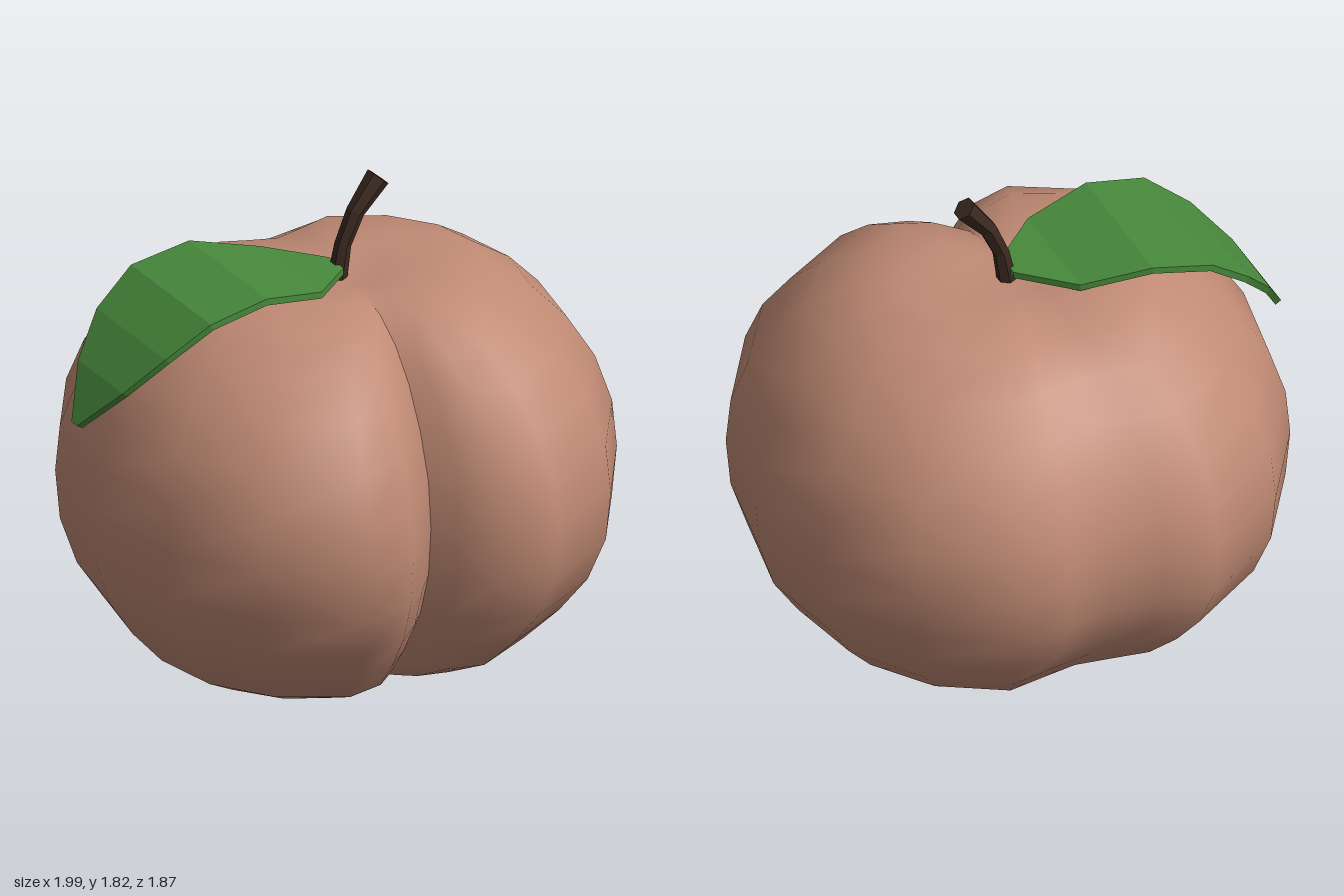
import * as THREE from 'three';

// Skins a list of rings (ordered counter-clockwise around the direction of travel).
function loft(rings, closed, caps) {
  const n = rings[0].length;
  const positions = rings.flat(2);
  const index = [];
  const steps = closed ? n : n - 1;
  for (let i = 0; i < rings.length - 1; i++) {
    for (let j = 0; j < steps; j++) {
      const a = i * n + j, b = i * n + (j + 1) % n;
      index.push(a, b, b + n, a, b + n, a + n);
    }
  }
  if (caps) {
    const last = (rings.length - 1) * n;
    for (let j = 1; j < n - 1; j++) {
      index.push(0, j + 1, j, last, last + j, last + j + 1);
    }
  }
  const geometry = new THREE.BufferGeometry();
  geometry.setAttribute('position', new THREE.Float32BufferAttribute(positions, 3));
  geometry.setIndex(index);
  geometry.computeVertexNormals();
  return geometry;
}

function makeMesh(name, geometry, color, flatShading) {
  const mesh = new THREE.Mesh(geometry, new THREE.MeshStandardMaterial({ color, flatShading }));
  mesh.name = name;
  return mesh;
}

// Two-lobed body: one half outline, mirrored and scaled row by row.
function createFruit() {
  const half = [
    [0, 0.68], [0.07, 0.765], [0.18, 0.875], [0.375, 0.93], [0.695, 0.73], [0.905, 0.40], [0.975, 0],
    [0.905, -0.39], [0.695, -0.72], [0.375, -0.935], [0.18, -0.9], [0, -0.87],
  ];
  const outline = [...half, ...half.slice(0, -1).reverse().map(([x, z]) => [-x, z])];

  // height, x scale, z scale, cleft strength, sag along the middle
  const rows = [
    [0.005, 0, 0, 0, 0], [0.008, 0.2, 0.14, 0, 0], [0.015, 0.415, 0.27, 0.3, 0],
    [0.05, 0.57, 0.46, 0.9, 0], [0.13, 0.715, 0.63, 1, 0], [0.26, 0.835, 0.77, 1, 0],
    [0.40, 0.93, 0.89, 1, 0], [0.57, 0.985, 0.975, 1, 0], [0.755, 1, 1, 1, 0],
    [0.93, 0.985, 0.975, 1, 0], [1.10, 0.93, 0.89, 1, 0], [1.25, 0.835, 0.77, 1, 0],
    [1.37, 0.715, 0.63, 1, 0.01], [1.46, 0.57, 0.47, 1, 0.025], [1.49, 0.415, 0.27, 0.3, 0.03],
    [1.475, 0.2, 0.14, 0, 0.015], [1.445, 0, 0, 0, 0],
  ];
  const rings = rows.map(([y, sx, sz, cleft, sag]) => outline.map(([x, z]) => {
    const smoothZ = z > 0 && Math.abs(x) < 0.3 ? 0.88 : z;
    const depth = THREE.MathUtils.lerp(smoothZ, z, cleft);
    const px = x * sx;
    return [0.015 + px, y - sag * Math.exp(-((px / 0.15) ** 2)), depth * sz];
  }));
  const geometry = loft(rings, false, false);

  // The poles share one straight normal
  const normal = geometry.attributes.normal;
  for (let j = 0; j < outline.length; j++) {
    normal.setXYZ(j, 0, -1, 0);
    normal.setXYZ(normal.count - 1 - j, 0, 1, 0);
  }
  return makeMesh('fruitBody', geometry, 0xc08a74, false);
}

// Six-sided curved stem, flaring at the tip
function createStem() {
  const path = [
    // x, y, radius, direction from vertical
    [0.02, 1.43, 0.036, 0.1], [0.045, 1.57, 0.03, 0.25],
    [0.095, 1.685, 0.033, 0.5], [0.187, 1.80, 0.044, 0.7],
  ];
  const rings = path.map(([x, y, r, tilt]) => Array.from({ length: 6 }, (_, k) => {
    const a = k * Math.PI / 3;
    const s = r * Math.sin(a);
    return [x + s * Math.cos(tilt), y - s * Math.sin(tilt), r * Math.cos(a)];
  }));
  return makeMesh('stem', loft(rings, true, true), 0x3a281f, true);
}

// Thin leaf arching over the model's right side
function createLeaf() {
  const stations = [
    // x, top height, back z, front z
    [0.02, 1.505, -0.05, 0.05], [-0.155, 1.515, -0.23, 0.205], [-0.40, 1.563, -0.305, 0.25],
    [-0.625, 1.515, -0.32, 0.25], [-0.78, 1.395, -0.29, 0.2], [-0.9, 1.255, -0.21, 0.11],
    [-0.997, 1.09, -0.085, -0.045],
  ];
  const thickness = 0.025;
  const rings = stations.map(([x, y, back, front], i) => {
    const p = stations[Math.max(i - 1, 0)], q = stations[Math.min(i + 1, stations.length - 1)];
    const slope = Math.atan2(q[1] - p[1], p[0] - q[0]);
    const bx = x - thickness * Math.sin(slope) * -1 * (slope < 0 ? -1 : 0.2);
    const by = y - thickness * Math.cos(slope);
    return [[bx, by, front], [x, y, front], [x, y, back], [bx, by, back]];
  });
  return makeMesh('leaf', loft(rings, true, true), 0x488a3c, true);
}

export function createModel() {
  const group = new THREE.Group();
  group.name = 'fruit';
  group.add(createFruit(), createStem(), createLeaf());
  return group;
}
